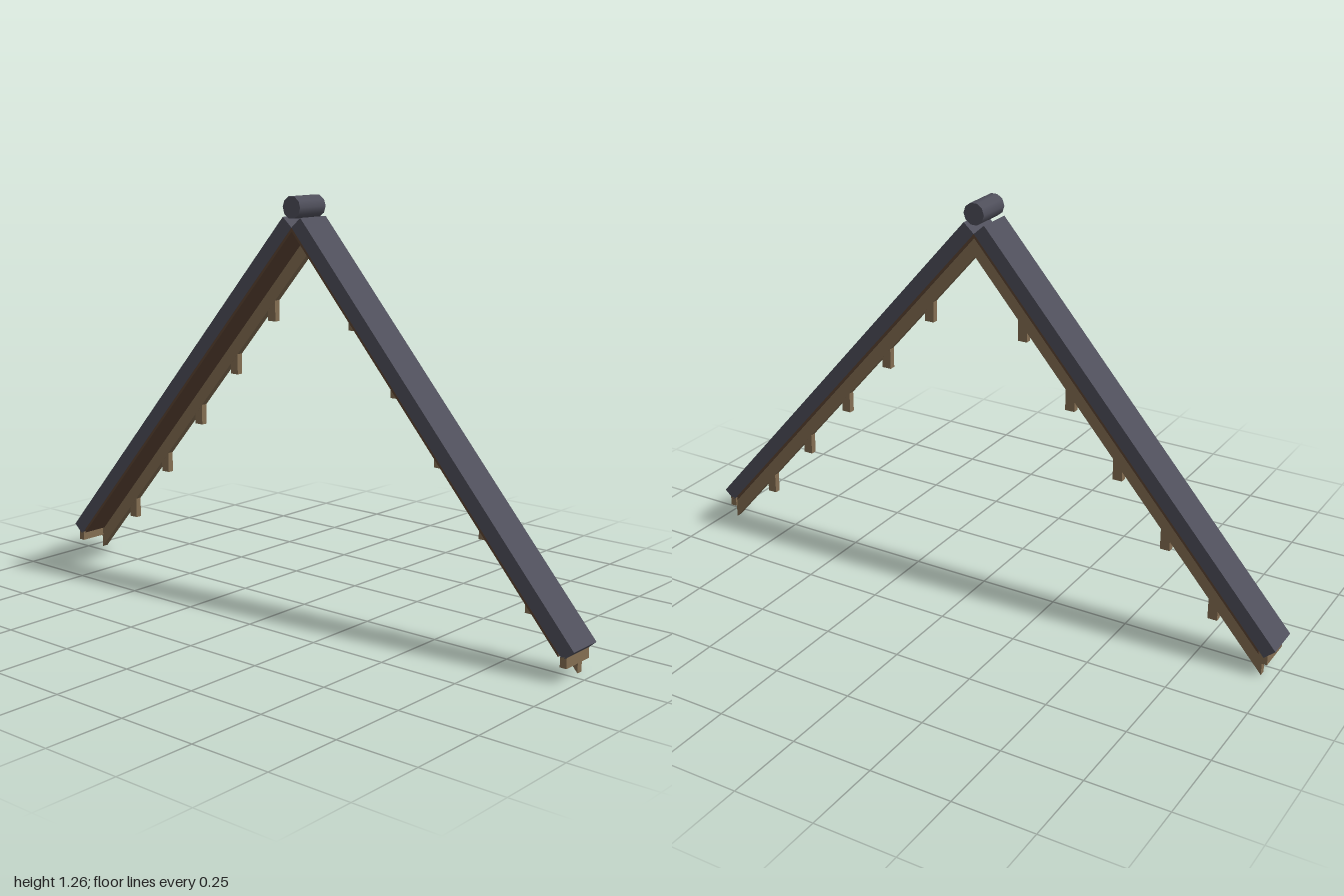
import * as THREE from 'three';

const HALF = 0.058;              // half width of the roof strip
const SLOPE = -1.147;            // pitch: dy / dz
const EAVE = 0.966;              // where the underside of the slate ends
const RIDGE = 1.173;             // underside of the slate at the ridge
const under = (z, drop = 0) => RIDGE + SLOPE * z - drop;

const slate = new THREE.MeshStandardMaterial({ color: 0x4f4f5b });
const wood = new THREE.MeshStandardMaterial({ color: 0x846e52 });
const board = new THREE.MeshStandardMaterial({ color: 0x5c4433 });

// Side profile of [z, y] points, extruded along x from x0 to x1
function profile(name, points, x0, x1, material, side) {
  const shape = new THREE.Shape(points.map(([z, y]) => new THREE.Vector2(z * side, y)));
  const geometry = new THREE.ExtrudeGeometry(shape, { depth: x1 - x0, bevelEnabled: false });
  geometry.rotateY(-Math.PI / 2).translate(x1, 0, 0);
  const mesh = new THREE.Mesh(geometry, material);
  mesh.name = name;
  return mesh;
}

function roofSide(side) {
  const group = new THREE.Group();
  group.name = side > 0 ? 'frontSlope' : 'backSlope';

  // Sloping band hanging between two depths under the slate
  const band = (end, top, bottom) => [
    [0, under(0, top)], [end, under(end, top)],
    [end, under(end, bottom)], [0, under(0, bottom)],
  ];

  // Slate covering, its ends cut square to the slope
  group.add(profile('slateSlab', [
    [0, RIDGE], [0.034, 1.203], [1.0, 0.095], [EAVE, under(EAVE)],
  ], -HALF, HALF, slate, side));

  // Thin boarding below the slate
  group.add(profile('roofBoarding', band(0.95, 0, 0.012), -HALF + 0.001, HALF - 0.001, board, side));

  // Rafter along the left edge
  group.add(profile('rafter', band(0.96, 0.002, 0.07), 0.031, 0.052, wood, side));

  // Eave board across the lower end
  group.add(profile('eaveBoard', [
    [0.957, 0.044], [0.978, 0.044], [0.978, 0.076], [0.957, 0.073],
  ], -HALF, HALF, wood, side));

  // Small blocks hanging from the rafter
  for (let i = 1; i <= 5; i++) {
    const z = i * 0.16;
    const block = new THREE.Mesh(new THREE.BoxGeometry(0.02, 0.08, 0.03), wood);
    block.name = 'rafterBlock';
    block.position.set(0.0415, under(z, 0.078), z * side);
    group.add(block);
  }
  return group;
}

export function createModel() {
  const model = new THREE.Group();
  model.name = 'gableRoofEdge';
  model.add(roofSide(1), roofSide(-1));

  // Round ridge cap
  const cap = new THREE.Mesh(new THREE.CylinderGeometry(0.034, 0.034, HALF * 2, 10), slate);
  cap.name = 'ridgeCap';
  cap.rotation.z = Math.PI / 2;
  cap.position.y = 1.232;
  model.add(cap);
  return model;
}
